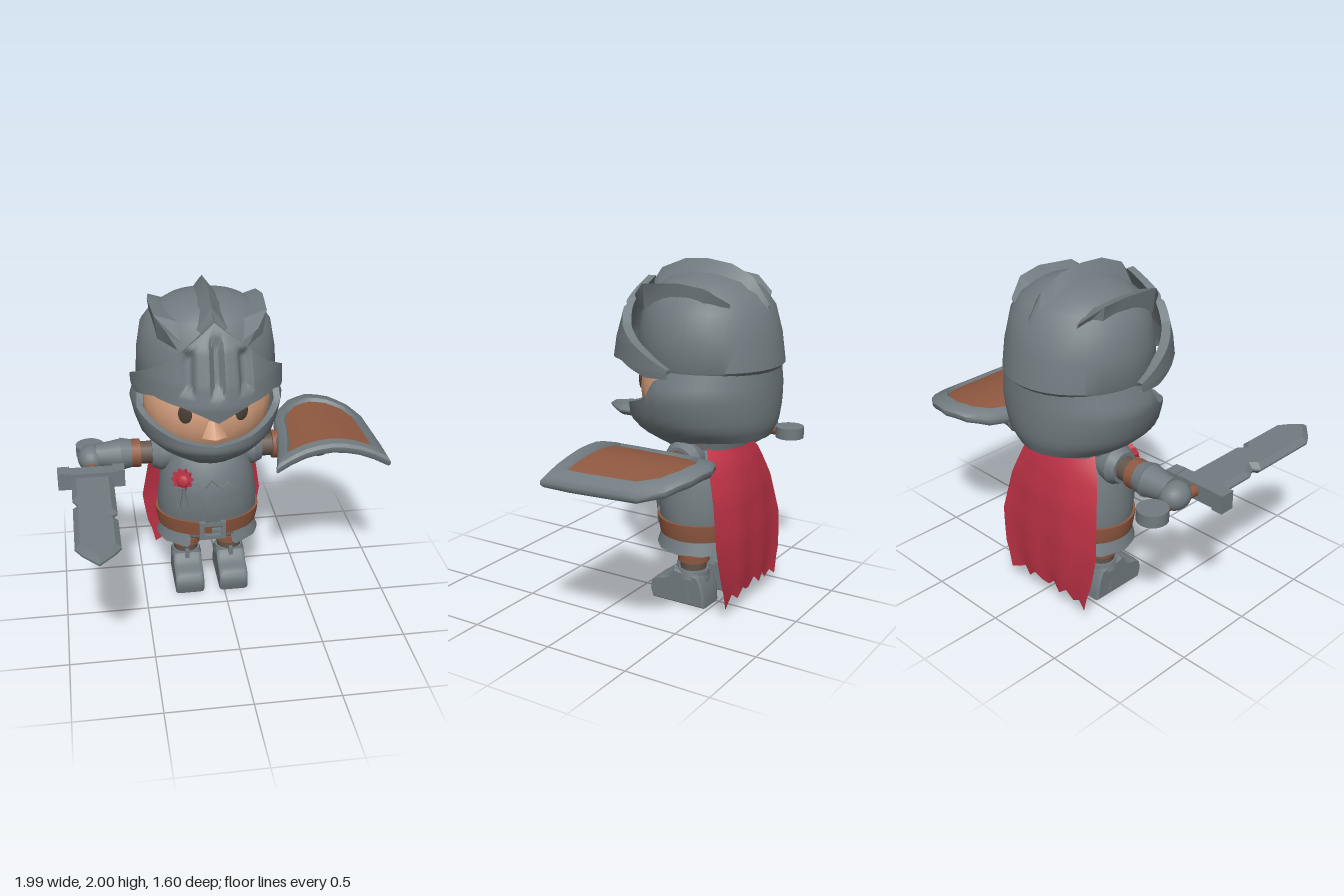
import * as THREE from 'three';
import { toCreasedNormals } from 'three/addons/utils/BufferGeometryUtils.js';

const mat = (name, color, side = THREE.DoubleSide) => {
  const m = new THREE.MeshStandardMaterial({ color, side });
  m.name = name;
  return m;
};
const CX = -0.08, CZ = -0.36, { sin, cos, abs, min, max, PI } = Math;
const rad = PI / 180;

// Straight-line lookup in rows [key, value, value...] with ascending keys
function lookup(rows, k) {
  let i = 0;
  while (i < rows.length - 2 && k > rows[i + 1][0]) i++;
  const a = rows[i], b = rows[i + 1];
  const t = min(1, max(0, (k - a[0]) / (b[0] - a[0])));
  return a.slice(1).map((v, j) => v + (b[j + 1] - v) * t);
}

// Surface from a rule fn(i, j) -> [x, y, z]
function grid(nu, nv, fn, crease = 40) {
  const pos = [], idx = [];
  for (let j = 0; j <= nv; j++) for (let i = 0; i <= nu; i++) pos.push(...fn(i, j));
  for (let j = 0; j < nv; j++) for (let i = 0; i < nu; i++) {
    const a = j * (nu + 1) + i, b = a + nu + 1;
    idx.push(a, b, a + 1, a + 1, b, b + 1);
  }
  const g = new THREE.BufferGeometry();
  g.setAttribute('position', new THREE.Float32BufferAttribute(pos, 3));
  g.setIndex(idx);
  return toCreasedNormals(g, crease * rad);
}

// Point on an oval body; rows are [y, half width, front z, back z], phi = 0 is the front
function onBody(rows, y, phi, off = 0) {
  const [rx, zf, zb] = lookup(rows, y), c = cos(phi);
  const rz = c > 0 ? zf - CZ : CZ - zb;
  return [CX + sin(phi) * (rx + off), y, CZ + c * (rz + off)];
}

// Thick band round an oval body, between two heights that depend on the angle in degrees
function band(rows, from, to, nu, nv, top, bottom, out, thick, dent = () => 0) {
  return grid(nu, 2 * nv + 2, (i, j) => {
    const deg = from + (to - from) * i / nu, phi = deg * rad, k = j % (2 * nv + 2);
    const outer = k <= nv, v = outer ? k / nv : (2 * nv + 1 - k) / nv;
    const y = top(deg) + (bottom(deg) - top(deg)) * v;
    return onBody(rows, y, phi, outer ? out - dent(phi, y) : out - thick);
  });
}

// Closed oval body using each row as a ring, listed bottom up
const body = (rows, n = 32) => grid(n, rows.length - 1, (i, j) =>
  onBody(rows, rows[rows.length - 1 - j][0], 2 * PI * i / n));

export function createModel() {
  const steel = mat('steel grey', 0x717b80), leather = mat('leather brown', 0x8f5840);
  const cloth = mat('dark brown cloth', 0x64564c), skin = mat('skin', 0xd9a27f);
  const red = mat('cape red', 0xbd3245), dark = mat('eye dark', 0x4c4038);
  const root = new THREE.Group();
  const add = (name, geo, m, x = 0, y = 0, z = 0, rx = 0, ry = 0, rz = 0, parent = root) => {
    const mesh = new THREE.Mesh(geo, m);
    mesh.name = name;
    mesh.position.set(x, y, z);
    mesh.rotation.set(rx, ry, rz);
    parent.add(mesh);
    return mesh;
  };
  const box = (w, h, d) => new THREE.BoxGeometry(w, h, d);
  const cyl = (a, b, h, n = 16) => new THREE.CylinderGeometry(a, b, h, n);
  const ball = (a, b, c) => new THREE.SphereGeometry(1, 20, 14).scale(a, b, c);

  // Face
  add('head', ball(0.39, 0.38, 0.38), skin, CX, 1.28, CZ);
  add('nose', new THREE.ConeGeometry(0.08, 0.17, 5).scale(1, 1, 0.9), skin, CX, 1.255, 0.005, -0.12);
  for (const s of [-1, 1]) {
    add('eye', ball(0.042, 0.058, 0.014), dark, CX + s * 0.165, 1.31, -0.016, 0, s * 0.4);
    add('eyebrow', box(0.12, 0.016, 0.02), cloth, CX + s * 0.17, 1.395, -0.03, -0.3, s * 0.4, s * 0.12);
  }
  add('mouth', box(0.1, 0.012, 0.01), dark, CX, 1.155, -0.005);

  // Helmet dome, jaw guard and visor
  const domeRows = [[1.41, 0.405, 0.02, -0.77], [1.44, 0.42, 0.03, -0.8], [1.6, 0.41, 0.03, -0.775],
    [1.75, 0.385, 0, -0.73], [1.83, 0.325, -0.05, -0.67], [1.89, 0.23, -0.13, -0.58],
    [1.92, 0.12, -0.24, -0.47], [1.93, 0, -0.36, -0.36]];
  add('helmetDome', body(domeRows, 36), steel);
  const jawRows = [[0.92, 0.1, -0.2, -0.5], [0.95, 0.2, -0.07, -0.6], [1.03, 0.33, 0.05, -0.74],
    [1.1, 0.405, 0.1, -0.77], [1.2, 0.44, 0.1, -0.78], [1.3, 0.46, 0.08, -0.78], [1.43, 0.42, 0.03, -0.775]];
  const jawTop = [[0, 1.14], [30, 1.17], [55, 1.23], [69, 1.27], [75, 1.37], [90, 1.43], [180, 1.43]];
  const jawLow = [[0, 0.92], [60, 0.94], [110, 1.03], [180, 1.03]];
  add('jawGuard', band(jawRows, -180, 180, 72, 10, d => lookup(jawTop, abs(d))[0],
    d => lookup(jawLow, abs(d))[0], 0, 0.04), steel);
  const visorRows = [[1.34, 0.45, 0.2, -0.8], [1.43, 0.455, 0.21, -0.8], [1.55, 0.45, 0.19, -0.8],
    [1.74, 0.43, 0.13, -0.8], [1.9, 0.38, 0.03, -0.8]];
  const visorTop = [[0, 1.88], [20, 1.77], [42, 1.64], [70, 1.53], [90, 1.45]];
  const visorLow = [[0, 1.34], [12, 1.39], [25, 1.43], [50, 1.45], [75, 1.39], [90, 1.4]];
  // Diamond slots pressed into the visor
  const slot = (phi, y) => max(...[-0.38, 0, 0.38].map(c => {
    const h = c ? 0.13 : 0.17, m = c ? 1.62 : 1.65;
    return 0.04 * max(0, min(1, 1.6 * min(1 - abs(phi - c) / 0.1, 1.5 * (1 - abs(y - m) / h))));
  }));
  add('visor', band(visorRows, -90, 90, 96, 24, d => lookup(visorTop, abs(d))[0],
    d => lookup(visorLow, abs(d))[0], 0, 0.05, slot), steel);

  // Crests: ridges along the dome, rows of [z, height]
  const crest = (pts, w) => grid(pts.length - 1, 2, (i, j) => {
    const taper = i === 0 || i === pts.length - 1 ? 0.3 : 1;
    return [(j - 1) * w * taper, pts[i][1] - (j === 1 ? 0 : 0.12), pts[i][0]];
  }, 25);
  add('centreCrest', crest([[0, 0.36], [-0.05, 0.43], [-0.2, 0.49], [-0.35, 0.5], [-0.5, 0.48],
    [-0.63, 0.42], [-0.73, 0.28]], 0.09), steel, CX, 1.5);
  for (const s of [-1, 1]) add('sideCrest', crest([[-0.03, 0.4], [-0.12, 0.5], [-0.35, 0.525], [-0.5, 0.5],
    [-0.62, 0.4]], 0.075), steel, CX, 1.5, 0, 0, 0, -s * 0.7);

  // Torso, chest plates, belt and skirt
  const torso = [[0.4, 0.29, -0.13, -0.6], [0.5, 0.31, -0.11, -0.62], [0.62, 0.31, -0.09, -0.62],
    [0.75, 0.295, -0.09, -0.61], [0.86, 0.27, -0.12, -0.59], [0.95, 0.24, -0.17, -0.55], [1, 0.1, -0.26, -0.46]];
  add('torso', body(torso), steel);
  add('collar', cyl(0.27, 0.25, 0.07, 28), steel, CX, 1, CZ);
  add('chestRidge', band(torso, -8, 8, 4, 6, d => 0.82 - abs(d) * 0.006, () => 0.54, 0.03, 0.05), steel);
  for (const s of [-1, 1]) {
    const a = s < 0 ? -38 : 12, b = s < 0 ? -12 : 38;
    add('chestPlate', band(torso, a, b, 8, 6, d => 0.8 - abs(abs(d) - 22) * 0.003, () => 0.54, 0.014, 0.03), steel);
  }
  add('belt', band(torso, -180, 180, 40, 2, () => 0.53, () => 0.43, 0.015, 0.04), leather);
  for (const s of [-1, 1]) {
    add('buckleSide', box(0.03, 0.11, 0.04), steel, CX + s * 0.068, 0.477, -0.095);
    add('buckleBar', box(0.16, 0.025, 0.04), steel, CX, 0.477 + s * 0.045, -0.095);
  }
  add('bucklePin', box(0.07, 0.022, 0.04), steel, CX + 0.03, 0.477, -0.09);
  add('skirt', band([[0.34, 0.325, -0.09, -0.63], [0.44, 0.29, -0.12, -0.6]], 28, 332, 40, 2,
    () => 0.42, d => 0.345 + 0.008 * abs(sin(d * 6 * rad)), 0, 0.04), steel);
  add('trousers', ball(0.27, 0.11, 0.23), cloth, CX, 0.43, CZ);

  for (const s of [-1, 1]) {
    // Legs and boots
    const x = CX + s * 0.14, leg = new THREE.Group();
    leg.name = s > 0 ? 'leftLeg' : 'rightLeg';
    root.add(leg);
    const limb = (...a) => { while (a.length < 9) a.push(a.length < 6 ? CZ : 0); return add(...a.slice(0, 9), a[9] || leg); };
    limb('thigh', cyl(0.085, 0.075, 0.22), cloth, x, 0.29, CZ);
    limb('legStrap', cyl(0.093, 0.093, 0.045), leather, x, 0.285, CZ);
    limb('bootShaft', cyl(0.085, 0.095, 0.18), steel, x, 0.12, CZ - 0.01);
    limb('bootCuff', cyl(0.088, 0.1, 0.05), steel, x, 0.19, CZ);
    const foot = new THREE.Shape();
    foot.moveTo(-0.47, 0.01);
    foot.lineTo(-0.14, 0.01);
    foot.quadraticCurveTo(-0.1, 0.1, -0.17, 0.13);
    foot.quadraticCurveTo(-0.25, 0.14, -0.28, 0.2);
    foot.lineTo(-0.43, 0.18);
    foot.quadraticCurveTo(-0.47, 0.1, -0.47, 0.01);
    const footGeo = new THREE.ExtrudeGeometry(foot, { depth: 0.13, bevelSize: 0.01, bevelThickness: 0.025,
      bevelSegments: 2, curveSegments: 5 }).rotateY(-PI / 2);
    limb('foot', toCreasedNormals(footGeo, 0.7), steel, x + 0.065, 0, 0);
    limb('bootRidge', box(0.025, 0.13, 0.03), steel, x, 0.17, CZ + 0.09);

    // Arms: sections of [name, material, inner distance, outer distance, inner radius, outer radius]
    const arm = new THREE.Group();
    arm.name = s > 0 ? 'leftArm' : 'rightArm';
    root.add(arm);
    for (const [name, m, a, b, ra, rb] of [['shoulder', steel, 0.2, 0.29, 0.1, 0.115],
      ['shoulderRim', steel, 0.29, 0.34, 0.115, 0.09], ['sleeve', cloth, 0.3, 0.5, 0.07, 0.07],
      ['armStrap', leather, 0.41, 0.465, 0.088, 0.088], ['gauntletCuff', steel, 0.46, 0.53, 0.085, 0.1],
      ['gauntlet', steel, 0.53, 0.68, 0.095, 0.07]])
      add(name, cyl(rb, ra, b - a), m, CX + s * (a + b) / 2, 0.905, CZ - 0.01, 0, 0, -s * PI / 2, arm);
    add('fist', ball(0.085, 0.08, 0.095), steel, CX + s * 0.71, 0.89, CZ - 0.01, 0, 0, 0, arm);
  }

  // Sword, pointing forward
  const sword = new THREE.Group();
  sword.name = 'sword';
  root.add(sword);
  const edge = [[-0.92, -0.15], [-0.92, 0.1], [-0.885, 0.17], [-0.92, 0.2], [-0.92, 0.63], [-0.88, 0.7],
    [-0.795, 0.8], [-0.71, 0.71], [-0.67, 0.65], [-0.67, 0.36], [-0.705, 0.31], [-0.67, 0.28], [-0.67, -0.15]];
  const blade = new THREE.ExtrudeGeometry(new THREE.Shape(edge.map(p => new THREE.Vector2(...p))),
    { depth: 0.012, bevelSize: 0.03, bevelOffset: -0.03, bevelThickness: 0.028, bevelSegments: 1 });
  add('blade', blade.translate(0, 0, -0.006).rotateX(PI / 2), steel, 0, 0.855, 0, 0, 0, 0, sword);
  add('guard', box(0.32, 0.1, 0.09), steel, -0.8, 0.855, -0.18, 0, 0, 0, sword);
  for (const s of [-1, 1]) add('guardEnd', box(0.07, 0.11, 0.09), steel, -0.8 + s * 0.165, 0.855, -0.19, 0, 0, 0, sword);
  add('grip', cyl(0.035, 0.035, 0.32), leather, -0.795, 0.86, -0.36, PI / 2, 0, 0, sword);
  add('pommel', toCreasedNormals(cyl(0.088, 0.088, 0.07, 18), 0.6), steel, -0.795, 0.86, -0.55, 0, 0, 0, sword);

  // Curved shield: rings scaled from one outline, profile rows of [scale, height]
  const rim = [[0.29, 0.03], [0.33, -0.15], [0.36, -0.35], [0.37, -0.5], [0.41, -0.64], [0.5, -0.74],
    [0.63, -0.79], [0.78, -0.76], [0.9, -0.68], [0.97, -0.55], [0.98, -0.35], [0.99, -0.15], [0.99, 0.03],
    [0.81, 0], [0.64, -0.01], [0.47, 0]];
  const shield = prof => grid(32, prof.length - 1, (i, j) => {
    const p = rim[(i >> 1) % 16], q = rim[((i + 1) >> 1) % 16], [s, h] = prof[j];
    const x = 0.64 + s * ((p[0] + q[0]) / 2 - 0.64), z = -0.36 + s * ((p[1] + q[1]) / 2 + 0.36);
    return [x, 1.015 - 0.1 * ((x - 0.64) / 0.35) ** 2 + h, z];
  });
  add('shieldBoard', shield([[0, -0.02], [0.3, -0.02], [0.6, -0.02], [0.97, -0.02], [1, 0], [1, 0.02],
    [0.95, 0.038], [0.78, 0.042], [0.73, 0.015]]), steel);
  add('shieldPanel', shield([[0.74, 0.022], [0.5, 0.022], [0.25, 0.022], [0, 0.022]]), leather);
  add('shieldGrip', cyl(0.05, 0.05, 0.12), cloth, 0.71, 0.93, CZ, 0, 0, PI / 2);

  // Cape: rows of [drop, y, half width, z]
  const capeRows = [[0, 0.98, 0.22, -0.56], [0.15, 0.87, 0.3, -0.61], [0.35, 0.7, 0.35, -0.65],
    [0.65, 0.45, 0.39, -0.67], [0.85, 0.25, 0.36, -0.67], [1, 0.12, 0.31, -0.66]];
  const jag = [0.08, 0.12, 0.09, 0.14, 0.1, 0.15, 0.1, 0.11, 0.14, 0.09, 0.13, 0.1, 0.08];
  add('cape', grid(12, 14, (i, j) => {
    const v = j / 14, u = i / 6 - 1, [y, w, z] = lookup(capeRows, v);
    return [CX + u * w, j === 14 ? jag[i] : y, z + 0.08 * u * u * (1 - v) + 0.008 * cos(u * 9) * v];
  }), red);

  // Rosette with ribbon tails
  const star = new THREE.Shape(Array.from({ length: 20 }, (_, i) => {
    const r = i % 2 ? 0.05 : 0.07;
    return new THREE.Vector2(r * cos(i * PI / 10), r * sin(i * PI / 10));
  }));
  add('rosette', new THREE.ExtrudeGeometry(star, { depth: 0.03, bevelEnabled: false }), red, -0.25, 0.82, -0.15, -0.15, -0.4);
  add('rosetteCentre', ball(0.04, 0.04, 0.02), red, -0.255, 0.82, -0.115, -0.15, -0.4);
  for (const s of [-1, 1]) add('ribbonTail', box(0.03, 0.14, 0.012), steel, -0.265 + s * 0.015, 0.71, -0.115, 0, -0.4, s * 0.15);
  return root;
}
